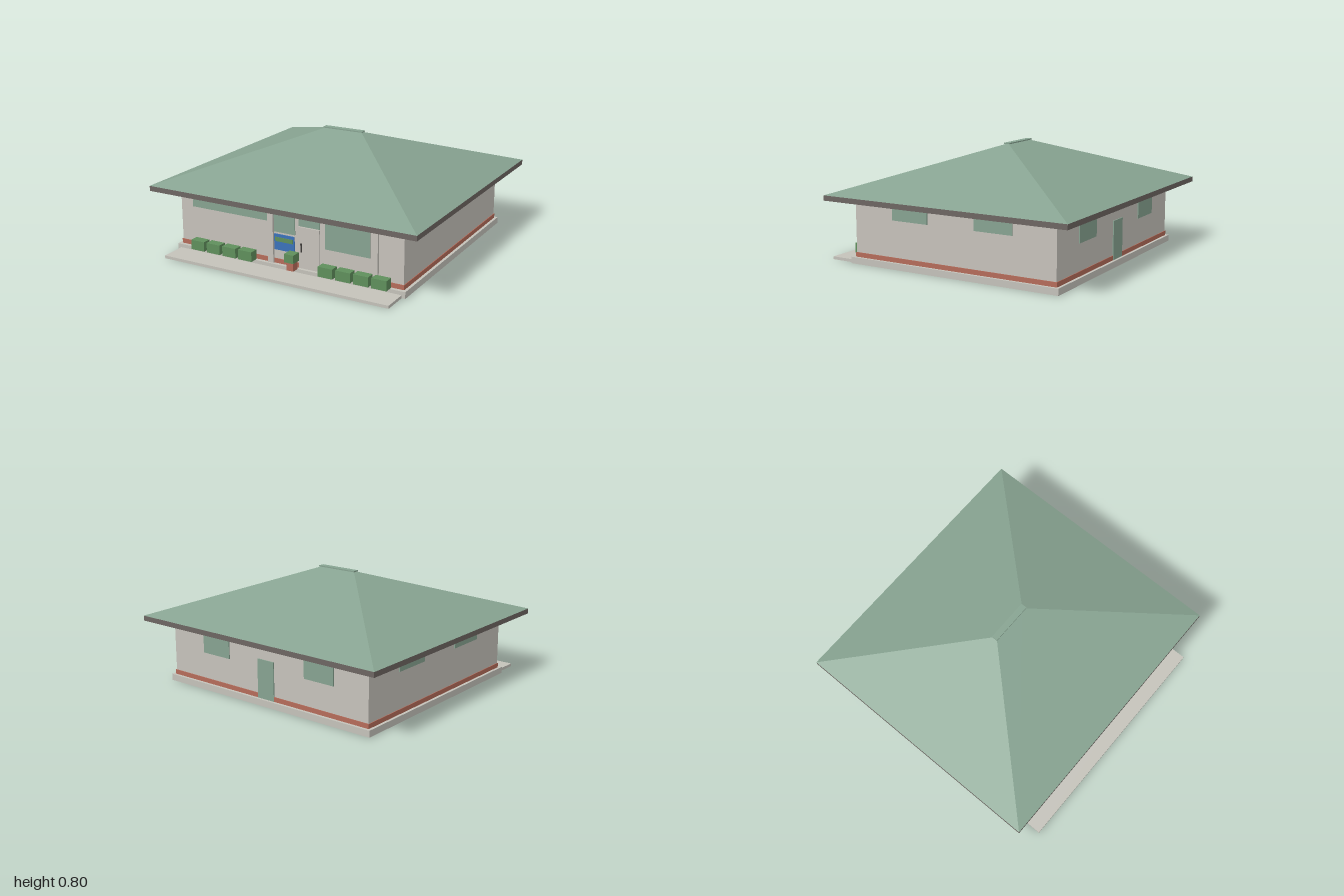
import * as THREE from 'three';

const mat = (name, color) => {
  const m = new THREE.MeshStandardMaterial({ color });
  m.name = name;
  return m;
};

export function createModel() {
  const wall = mat('wall plaster', 0xc6c2bb);
  const stone = mat('concrete', 0xc4c2ba);
  const brick = mat('brick', 0xb56c5a);
  const green = mat('sage green', 0x87a391);
  const fascia = mat('dark fascia', 0x6d6662);
  const leaf = mat('hedge green', 0x5f8f5c);
  const blue = mat('sign blue', 0x3b72b9);
  const dark = mat('handle dark', 0x45423f);
  const model = new THREE.Group();
  model.name = 'house';

  // Box given by its minimum and maximum on each axis
  const box = (name, m, x0, x1, y0, y1, z0, z1) => {
    const mesh = new THREE.Mesh(new THREE.BoxGeometry(x1 - x0, y1 - y0, z1 - z0), m);
    mesh.position.set((x0 + x1) / 2, (y0 + y1) / 2, (z0 + z1) / 2);
    mesh.name = name;
    model.add(mesh);
    return mesh;
  };
  const FRONT = 0.74, BACK = -0.8;
  const onFront = (name, m, x0, x1, y0, y1, t = 0.006) =>
    box(name, m, x0, x1, y0, y1, FRONT, FRONT + t);
  const onBack = (name, m, x0, x1, y0, y1) =>
    box(name, m, x0, x1, y0, y1, BACK - 0.007, BACK);

  // Base and walls
  box('foundation', stone, -0.875, 0.875, 0, 0.045, -0.825, 0.77);
  box('frontWalk', stone, -0.85, 0.85, 0, 0.02, 0.77, 0.95);
  box('walls', wall, -0.85, 0.85, 0.045, 0.445, BACK, FRONT);

  // Brick course, broken by the doors
  for (const [x0, x1] of [[-0.855, -0.14], [-0.1, 0.095], [0.25, 0.855]])
    onFront('brickCourseFront', brick, x0, x1, 0.045, 0.077, 0.005);
  for (const [x0, x1] of [[-0.855, -0.08], [0.06, 0.855]])
    box('brickCourseBack', brick, x0, x1, 0.045, 0.077, BACK - 0.005, BACK);
  for (const s of [-1, 1]) {
    const x0 = s > 0 ? 0.85 : -0.855;
    box('brickCourseSide', brick, x0, x0 + 0.005, 0.045, 0.077, BACK, FRONT);
    // High side windows
    for (const [z0, z1] of [[0.15, 0.43], [-0.49, -0.21]])
      box('sideWindow', green, s > 0 ? 0.85 : -0.859, s > 0 ? 0.859 : -0.85, 0.33, 0.44, z0, z1);
  }

  // Front wall
  onFront('frontWideWindow', green, -0.75, -0.14, 0.33, 0.44);
  onFront('entryWindow', green, -0.095, 0.065, 0.265, 0.435);
  onFront('entryPanel', blue, -0.095, 0.06, 0.14, 0.25);
  onFront('entryPanelStripe', leaf, -0.085, 0.05, 0.2, 0.23, 0.009);
  onFront('frontDoor', wall, 0.095, 0.25, 0.045, 0.33, 0.008);
  onFront('doorTransom', green, 0.095, 0.25, 0.335, 0.397);
  box('doorHandle', dark, 0.112, 0.12, 0.16, 0.22, FRONT, 0.757);
  onFront('frontWindow', green, 0.29, 0.615, 0.21, 0.385);
  onFront('fasciaBoard', wall, 0.295, 0.62, 0.39, 0.44, 0.004);
  for (const [x, w] of [[0.32, 0.02], [0.38, 0.018], [0.412, 0.02], [0.437, 0.02],
    [0.462, 0.02], [0.487, 0.02], [0.512, 0.02], [0.537, 0.02], [0.562, 0.022]])
    onFront('boardBlock', blue, x, x + w, 0.405, 0.44, 0.008);
  for (const [x0, x1] of [[-0.14, -0.098], [0.63, 0.675]])
    box('frontPost', wall, x0, x1, 0.045, 0.445, FRONT, 0.757);

  // Back wall
  onBack('backWindow', green, 0.32, 0.56, 0.26, 0.41);
  onBack('backWindow', green, -0.58, -0.34, 0.26, 0.41);
  onBack('backDoor', green, -0.08, 0.06, 0.045, 0.315);

  // Hedges and potted shrub
  for (const start of [-0.722, 0.278])
    for (let i = 0; i < 4; i++) {
      const x = start + i * 0.1285;
      box('hedge', leaf, x, x + 0.106, 0.047, 0.115, 0.757, 0.82);
    }
  box('pot', brick, 0.045, 0.097, 0.045, 0.102, 0.772, 0.824);
  box('pottedShrub', leaf, 0.034, 0.104, 0.102, 0.16, 0.763, 0.833);

  // Eaves and hipped roof
  const Z0 = -0.95, Z1 = 0.89, ZC = -0.03;
  box('fascia', fascia, -1, 1, 0.442, 0.478, Z0, Z1);
  for (const s of [-1, 1])
    box('soffitStrip', green, s > 0 ? 0.85 : -0.91, s > 0 ? 0.91 : -0.85, 0.44, 0.444, -0.8, 0.74);
  const [a, b, c, d] = [[-1, 0.478, Z1], [1, 0.478, Z1], [1, 0.478, Z0], [-1, 0.478, Z0]];
  const l = [-0.135, 0.793, ZC], r = [0.135, 0.793, ZC];
  const faces = [a, b, r, a, r, l, b, c, r, c, d, l, c, l, r, d, a, l];
  const roofGeo = new THREE.BufferGeometry();
  roofGeo.setAttribute('position', new THREE.Float32BufferAttribute(faces.flat(), 3));
  roofGeo.computeVertexNormals();
  const roof = new THREE.Mesh(roofGeo, green);
  roof.name = 'roof';
  model.add(roof);
  box('ridgeCap', green, -0.155, 0.155, 0.79, 0.798, -0.054, -0.01);

  return model;
}
